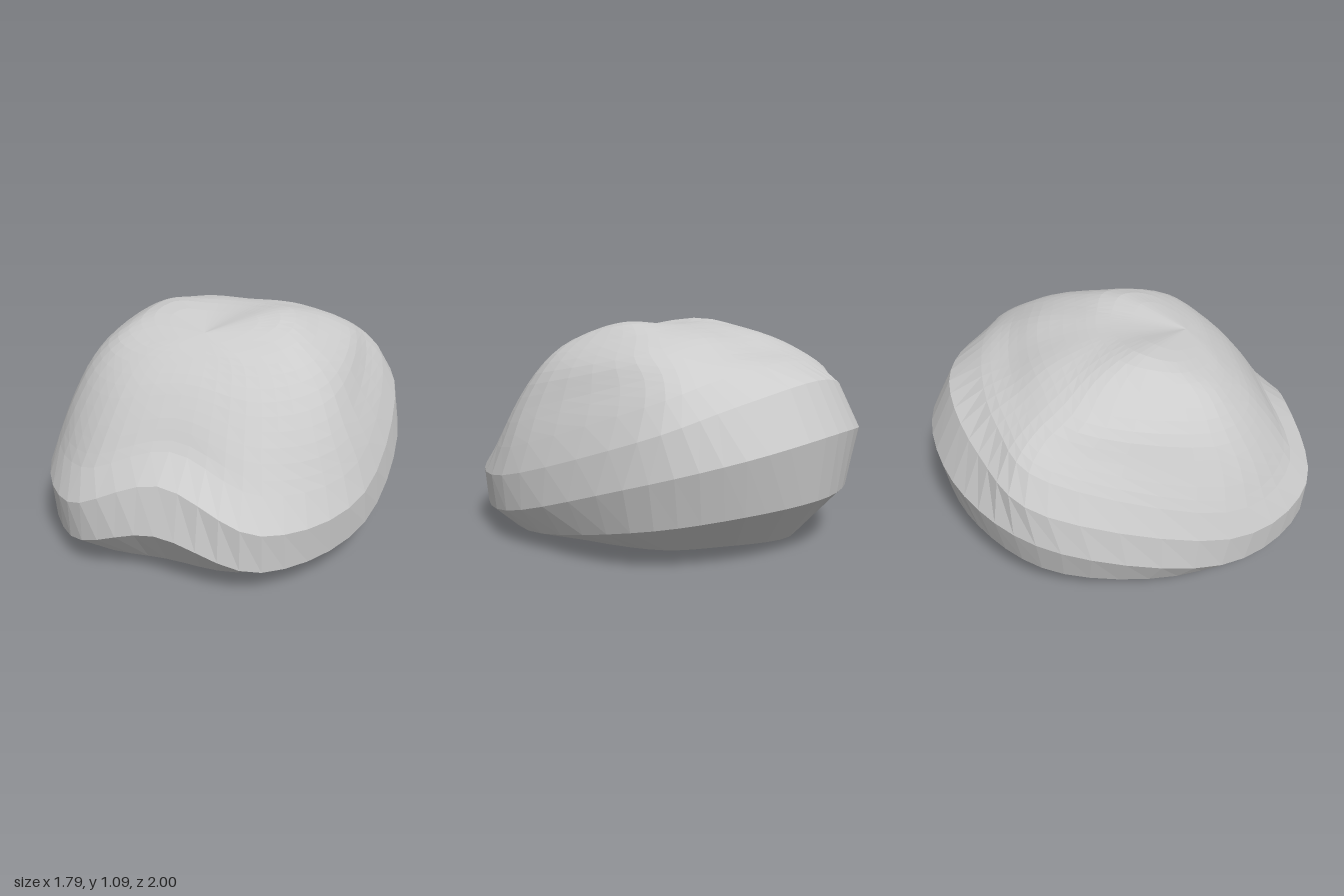
import * as THREE from 'three';

// Each ring: front [y, z], cheek, side, rear side, rear corner [x, y, z], back [y, z]
const crownRings = [
  [[0.985, 0.42], [0.17, 0.99, 0.4], [0.32, 1.05, 0.22], [0.28, 1.09, 0.05], [0.12, 1.077, -0.03], [1.073, -0.05]],
  [[0.94, 0.49], [0.3, 0.93, 0.47], [0.49, 0.97, 0.29], [0.44, 1.035, -0.14], [0.2, 1.065, -0.2], [1.065, -0.22]],
  [[0.85, 0.6], [0.37, 0.8, 0.59], [0.62, 0.84, 0.33], [0.59, 0.95, -0.25], [0.3, 1.02, -0.38], [1.015, -0.42]],
  [[0.72, 0.71], [0.41, 0.63, 0.71], [0.71, 0.66, 0.38], [0.66, 0.86, -0.37], [0.39, 0.945, -0.52], [0.95, -0.57]],
  [[0.59, 0.8], [0.45, 0.45, 0.82], [0.79, 0.48, 0.39], [0.745, 0.75, -0.44], [0.45, 0.865, -0.65], [0.91, -0.71]],
];
const baseRings = [
  [[0.48, 0.94], [0.48, 0.31, 0.92], [0.835, 0.34, 0.41], [0.82, 0.61, -0.46], [0.5, 0.75, -0.75], [0.83, -0.88]],
  [[0.26, 1.0], [0.48, 0.12, 0.91], [0.84, 0.165, 0.38], [0.86, 0.4, -0.41], [0.54, 0.53, -0.84], [0.59, -1.0]],
  [[0.07, 0.87], [0.43, 0.07, 0.83], [0.77, 0.06, 0.3], [0.8, 0.19, -0.4], [0.48, 0.26, -0.8], [0.28, -0.96]],
  [[0.045, 0.6], [0.35, 0.03, 0.55], [0.61, 0.02, 0.25], [0.59, 0.045, -0.33], [0.34, 0.04, -0.57], [0.04, -0.75]],
];

const SEGMENTS = 50;

// Mirrors the half outline and samples it as a smooth closed ring
function sampleRing(half) {
  const pts = half.map((p) => (p.length === 2 ? new THREE.Vector3(0, ...p) : new THREE.Vector3(...p)));
  const mirrored = pts.slice(1, -1).reverse().map((p) => new THREE.Vector3(-p.x, p.y, p.z));
  const curve = new THREE.CatmullRomCurve3([...pts, ...mirrored], true, 'catmullrom', 0.5);
  return Array.from({ length: SEGMENTS }, (_, j) => curve.getPoint(j / SEGMENTS));
}

const poleRing = (x, y, z) => Array.from({ length: SEGMENTS }, () => new THREE.Vector3(x, y, z));

function buildBody() {
  const crown = crownRings.map(sampleRing);
  const base = baseRings.map(sampleRing);
  const sole = base[base.length - 1].map((p) => new THREE.Vector3(p.x * 0.5, 0.008, p.z * 0.5));
  const keys = [poleRing(0, 1.025, 0.34), ...crown, ...base, sole, poleRing(0, 0, 0)];

  // Fine rings over the crown, broad facets round the base
  const meridians = keys[0].map((_, j) => new THREE.CatmullRomCurve3(keys.map((r) => r[j]), false, 'catmullrom', 0.5));
  const rings = [];
  const spans = keys.length - 1;
  for (let i = 0; i < spans; i++) {
    const steps = i < crown.length ? 3 : 1;
    for (let s = 0; s < steps; s++) {
      rings.push(s === 0 ? keys[i] : meridians.map((m) => m.getPoint((i + s / steps) / spans)));
    }
  }
  rings.push(keys[spans]);

  const positions = [];
  const addTriangle = (...corners) => corners.forEach((p) => positions.push(p.x, p.y, p.z));
  for (let i = 0; i < rings.length - 1; i++) {
    for (let j = 0; j < SEGMENTS; j++) {
      const k = (j + 1) % SEGMENTS;
      const [a, b, c, d] = [rings[i][j], rings[i + 1][j], rings[i + 1][k], rings[i][k]];
      // The rings next to the poles close as single triangles
      if (i < rings.length - 2) addTriangle(a, b, c);
      if (i > 0) addTriangle(a, c, d);
    }
  }
  const geometry = new THREE.BufferGeometry();
  geometry.setAttribute('position', new THREE.Float32BufferAttribute(positions, 3));
  geometry.computeVertexNormals();
  return geometry;
}

export function createModel() {
  const group = new THREE.Group();
  group.name = 'roundedLump';
  const body = new THREE.Mesh(
    buildBody(),
    new THREE.MeshStandardMaterial({ color: 0xcccccc, flatShading: true }),
  );
  body.name = 'body';
  group.add(body);
  return group;
}
